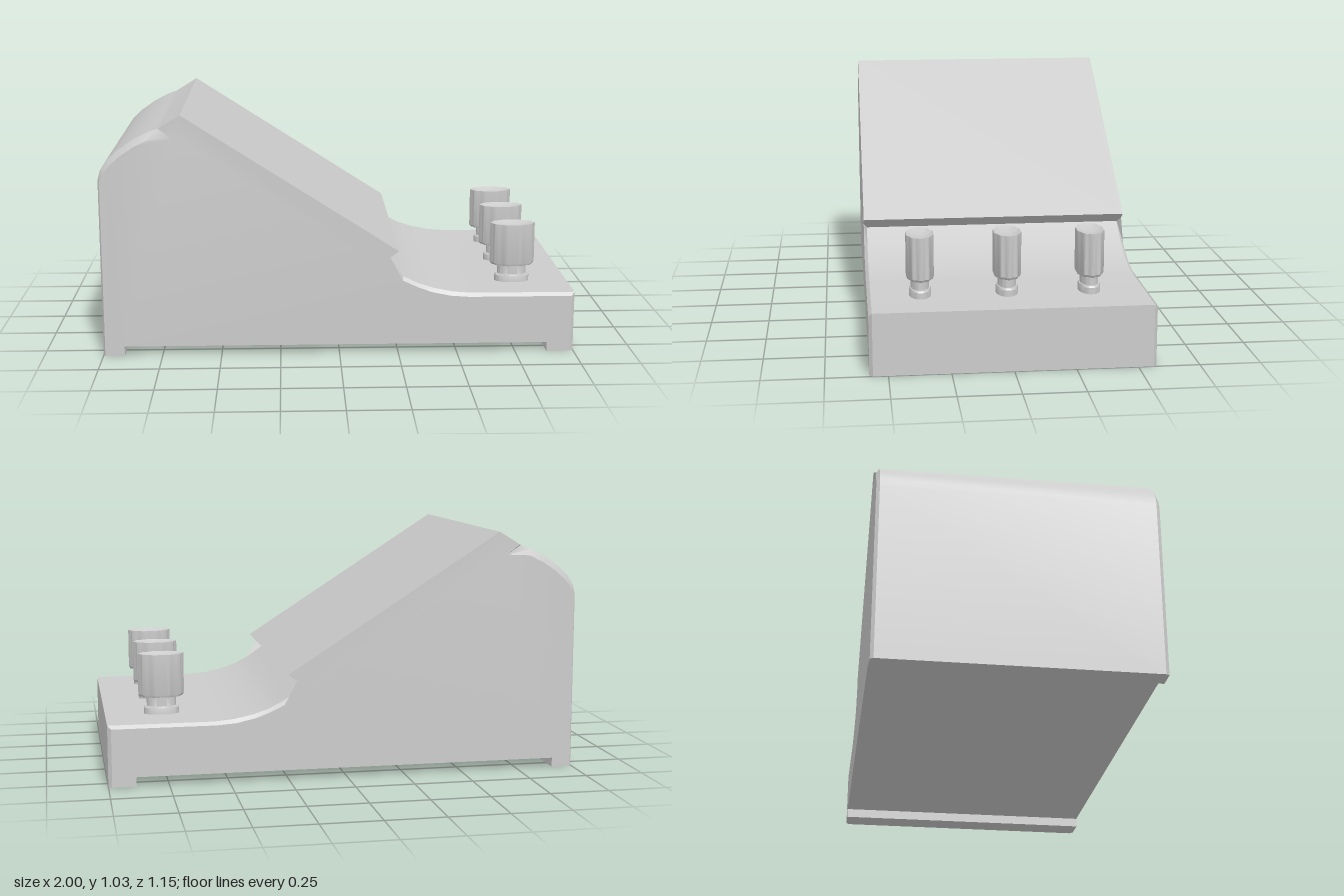
import * as THREE from 'three';
import { toCreasedNormals } from 'three/addons/utils/BufferGeometryUtils.js';

const grey = new THREE.MeshStandardMaterial({ color: 0xcccccc });
const HALF = 0.575, CHAMFER = 0.014;

// Housing cross-section, anticlockwise from the front: [x, y, side x, side y].
// The side values shape the outer faces, giving the chamfered edges.
const profile = [
  [-1, 0, -0.992, 0], [-0.91, 0], [-0.91, 0.04], [0.885, 0.04], [0.885, 0],
  [1, 0, 0.985, 0], [1, 0.258, 0.985, 0.244],
  [0.56, 0.258, 0.55, 0.244], [0.48, 0.265, 0.47, 0.25], [0.4, 0.281, 0.39, 0.267],
  [0.33, 0.304, 0.33, 0.289], [0.27, 0.334, 0.267, 0.318],
  [0.18, 0.396, 0.213, 0.419], [0.25, 0.446],
  [-0.655, 1.027], [-0.745, 0.972], [-0.752, 0.969, -0.69, 0.93],
  [-0.80, 0.951, -0.79, 0.925], [-0.86, 0.919, -0.85, 0.895], [-0.92, 0.877, -0.91, 0.855],
  [-0.965, 0.835, -0.95, 0.818], [-0.99, 0.795, -0.978, 0.785], [-1, 0.755, -0.992, 0.75],
];

function housingGeometry() {
  const mid = profile.map(([x, y]) => [x, y]);
  const side = profile.map(([x, y, sx = x, sy = y]) => [sx, sy]);
  const rings = [[side, -HALF], [mid, -HALF + CHAMFER], [mid, HALF - CHAMFER], [side, HALF]];
  const n = profile.length, pos = [], idx = [];
  for (const [ring, z] of rings) for (const [x, y] of ring) pos.push(x, y, z);
  for (let r = 0; r < 3; r++) {
    for (let i = 0; i < n; i++) {
      const a = r * n + i, b = r * n + (i + 1) % n;
      idx.push(a, b, b + n, a, b + n, a + n);
    }
  }
  // Side walls
  const outline = side.map(([x, y]) => new THREE.Vector2(x, y));
  for (const [a, b, c] of THREE.ShapeUtils.triangulateShape(outline, [])) {
    idx.push(a + 3 * n, b + 3 * n, c + 3 * n, c, b, a);
  }
  const g = new THREE.BufferGeometry();
  g.setAttribute('position', new THREE.Float32BufferAttribute(pos, 3));
  g.setIndex(idx);
  return toCreasedNormals(g, 0.45);
}

// Turned part; lobes > 0 gives a scalloped grip
function turned(points, lobes = 0) {
  const g = new THREE.LatheGeometry(points.map(([r, y]) => new THREE.Vector2(r, y)), 60);
  const p = g.attributes.position;
  for (let i = 0; i < p.count; i++) {
    const x = p.getX(i), z = p.getZ(i);
    const k = lobes ? 0.965 + 0.035 * Math.cos(lobes * Math.atan2(z, x)) : 1;
    p.setX(i, x * k);
    p.setZ(i, z * k);
  }
  g.scale(1, 1, 0.6);
  return toCreasedNormals(g, 0.5);
}

export function createModel() {
  const model = new THREE.Group();
  const add = (parent, name, geometry) => {
    const mesh = new THREE.Mesh(geometry, grey);
    mesh.name = name;
    parent.add(mesh);
  };

  add(model, 'housing', housingGeometry());

  // Three oval knobs on the front deck
  const stem = turned([[0, 0.25], [0.075, 0.25], [0.075, 0.284], [0.07, 0.291], [0.062, 0.291], [0.062, 0.34]]);
  const cap = turned([[0, 0.332], [0.09, 0.332], [0.097, 0.342], [0.097, 0.515], [0.07, 0.506], [0.035, 0.501], [0, 0.5]], 10);
  [0.36, 0.005, -0.335].forEach((z, i) => {
    const knob = new THREE.Group();
    knob.name = 'knob' + (i + 1);
    knob.position.set(0.76, 0, z);
    add(knob, 'knobStem', stem);
    add(knob, 'knobCap', cap);
    model.add(knob);
  });
  return model;
}
